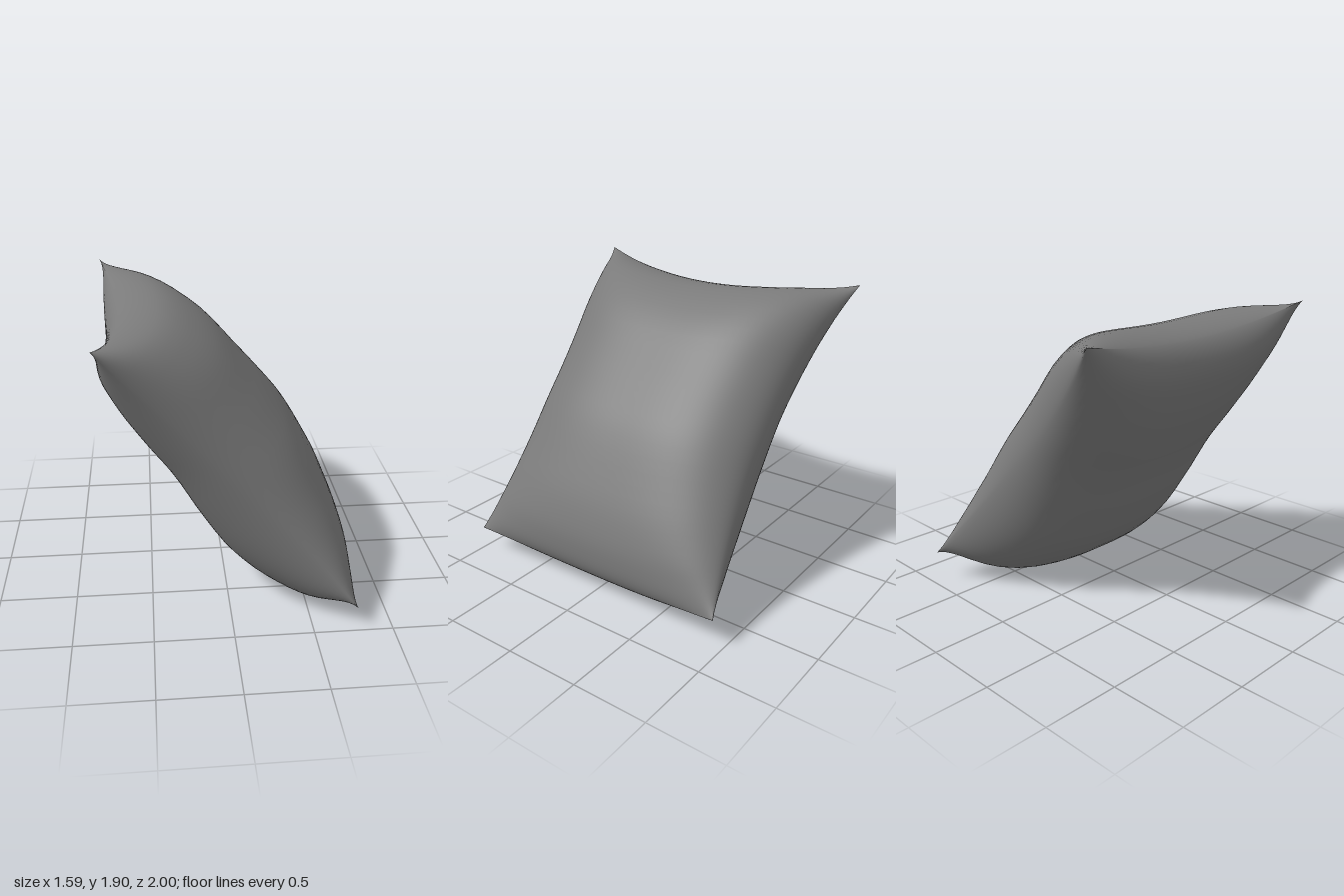
import * as THREE from 'three';
import { mergeVertices } from 'three/addons/utils/BufferGeometryUtils.js';

const { lerp } = THREE.MathUtils;

// Mid-section of the leaning cushion: a closed loop from the top seam down
// the upper face to the bottom seam, then back up the lower face
const top = [-0.66, 1.76], bottom = [0.75, 0.14];
const section = new THREE.CatmullRomCurve3([
  top, [-0.38, 1.825], [-0.08, 1.675], [0.16, 1.425], [0.32, 1.245],
  [0.46, 1.07], [0.61, 0.81], [0.73, 0.56], [0.785, 0.34],
  bottom, [0.49, 0], [0.23, 0.085], [0, 0.27], [-0.18, 0.53],
  [-0.36, 0.85], [-0.53, 1.1], [-0.67, 1.35], [-0.74, 1.59],
].map(([x, y]) => new THREE.Vector3(x, y, 0)), true);

// Pointed corners and the pinched-in middle of each side edge
const sides = {
  left: { top: [-0.77, 1.9, 1], bottom: [0.77, 0.16, 0.99], mid: 0.88 },
  right: { top: [-0.8, 1.88, -1], bottom: [0.785, 0.2, -0.95], mid: -0.82 },
};

function surfacePoint(isUpper, u, v) {
  const side = u >= 0 ? sides.left : sides.right;
  const a = Math.abs(u), end = Math.abs(2 * v - 1);
  // seam sheet, stretched out towards the corners
  const middle = [0, 1].map((i) => lerp(top[i], bottom[i], v));
  const base = middle.map((m, i) => lerp(m, lerp(side.top[i], side.bottom[i], v), a * a));
  // filling, rounded off towards the side edges and blunter near the corners
  const e = end ** 2.5;
  const puff = Math.max(0, 1 - a ** lerp(3, 4.5, e)) ** lerp(0.52, 0.45, e);
  const p = section.getPoint(isUpper ? v / 2 : 1 - v / 2);
  const corner = v < 0.5 ? side.top[2] : side.bottom[2];
  return [
    base[0] + (p.x - middle[0]) * puff,
    base[1] + (p.y - middle[1]) * puff,
    a * lerp(side.mid, corner, end ** 2.1),
  ];
}

export function createModel() {
  const group = new THREE.Group();
  group.name = 'cushion';
  const n = 44, positions = [], index = [];
  // steps from -1 to 1, closer together near the seams
  const step = (i) => Math.sin((i / n - 0.5) * Math.PI);

  // Two puffed faces sharing one seam
  [true, false].forEach((isUpper) => {
    const start = positions.length / 3;
    for (let j = 0; j <= n; j++) {
      for (let i = 0; i <= n; i++) {
        positions.push(...surfacePoint(isUpper, step(i), (step(j) + 1) / 2));
      }
    }
    for (let j = 0; j < n; j++) {
      for (let i = 0; i < n; i++) {
        const a = start + j * (n + 1) + i, b = a + 1, c = a + n + 1, d = c + 1;
        if (isUpper) index.push(a, b, c, b, d, c);
        else index.push(a, c, b, b, c, d);
      }
    }
  });

  let geometry = new THREE.BufferGeometry();
  geometry.setAttribute('position', new THREE.Float32BufferAttribute(positions, 3));
  geometry.setIndex(index);
  geometry = mergeVertices(geometry, 1e-4);
  geometry.computeVertexNormals();

  const mesh = new THREE.Mesh(geometry, new THREE.MeshStandardMaterial({ color: 0x7a7a7a }));
  mesh.name = 'pillow';
  group.add(mesh);
  return group;
}
